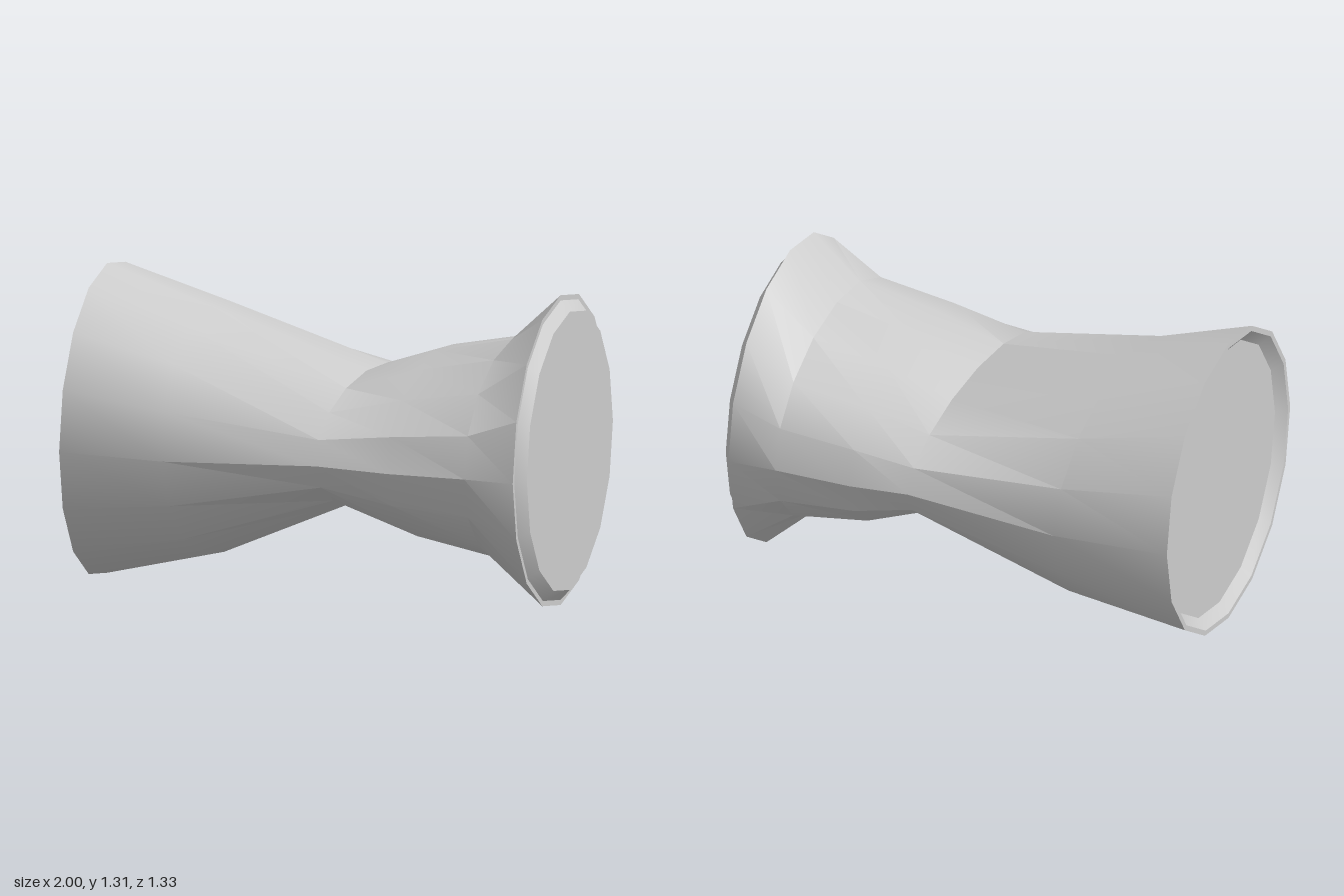
import * as THREE from 'three';
import { toCreasedNormals } from 'three/addons/utils/BufferGeometryUtils.js';

const SIDES = 16;
const MID = 0.655; // height of the axis

// Ring across the x axis: height h, half depth d, centre (y, z), tilt of x with y and z
const ring = (x, h, d = h, y = MID, z = 0, tiltY = 0, tiltZ = 0) => ({ x, h, d, y, z, tiltY, tiltZ });

function ringPoint(r, j) {
  const a = ((j % SIDES) / SIDES) * Math.PI * 2;
  const dy = r.h * Math.cos(a), dz = r.d * Math.sin(a);
  return [r.x + r.tiltY * dy + r.tiltZ * dz, r.y + dy, r.z + dz];
}

// Skin a row of rings from -x to +x
function loft(rings) {
  const pos = [];
  for (let i = 0; i < rings.length - 1; i++) {
    const r0 = rings[i], r1 = rings[i + 1];
    for (let j = 0; j < SIDES; j++) {
      const a = ringPoint(r0, j), b = ringPoint(r0, j + 1);
      const c = ringPoint(r1, j + 1), d = ringPoint(r1, j);
      if (r0.h > 0) pos.push(...a, ...b, ...c);
      if (r1.h > 0) pos.push(...a, ...c, ...d);
    }
  }
  const g = new THREE.BufferGeometry();
  g.setAttribute('position', new THREE.Float32BufferAttribute(pos, 3));
  return toCreasedNormals(g, THREE.MathUtils.degToRad(30));
}

export function createModel() {
  const group = new THREE.Group();
  group.name = 'pinchedTube';
  const grey = new THREE.MeshStandardMaterial({ color: 0xcccccc });
  grey.name = 'light grey';

  const add = (name, rings) => {
    const mesh = new THREE.Mesh(loft(rings), grey);
    mesh.name = name;
    group.add(mesh);
  };

  // Tube squeezed flat at the waist
  add('pinchedBody', [
    ring(-1, 0.655),
    ring(-0.53, 0.52, 0.652, 0.64, -0.017, -0.06, -0.05),
    ring(0.137, 0.262, 0.654, 0.673, 0.009, -0.05, -0.04),
    ring(0.42, 0.38, 0.655, 0.66),
    ring(0.75, 0.45, 0.655, 0.66),
    ring(0.96, 0.655),
  ]);

  // Recessed end
  add('socketEnd', [
    ring(-0.96, 0), ring(-0.96, 0.588), ring(-1, 0.633), ring(-1, 0.655),
  ]);

  // Raised, chamfered end
  add('plugEnd', [
    ring(0.96, 0.655), ring(0.96, 0.633), ring(1, 0.588), ring(1, 0),
  ]);

  return group;
}
